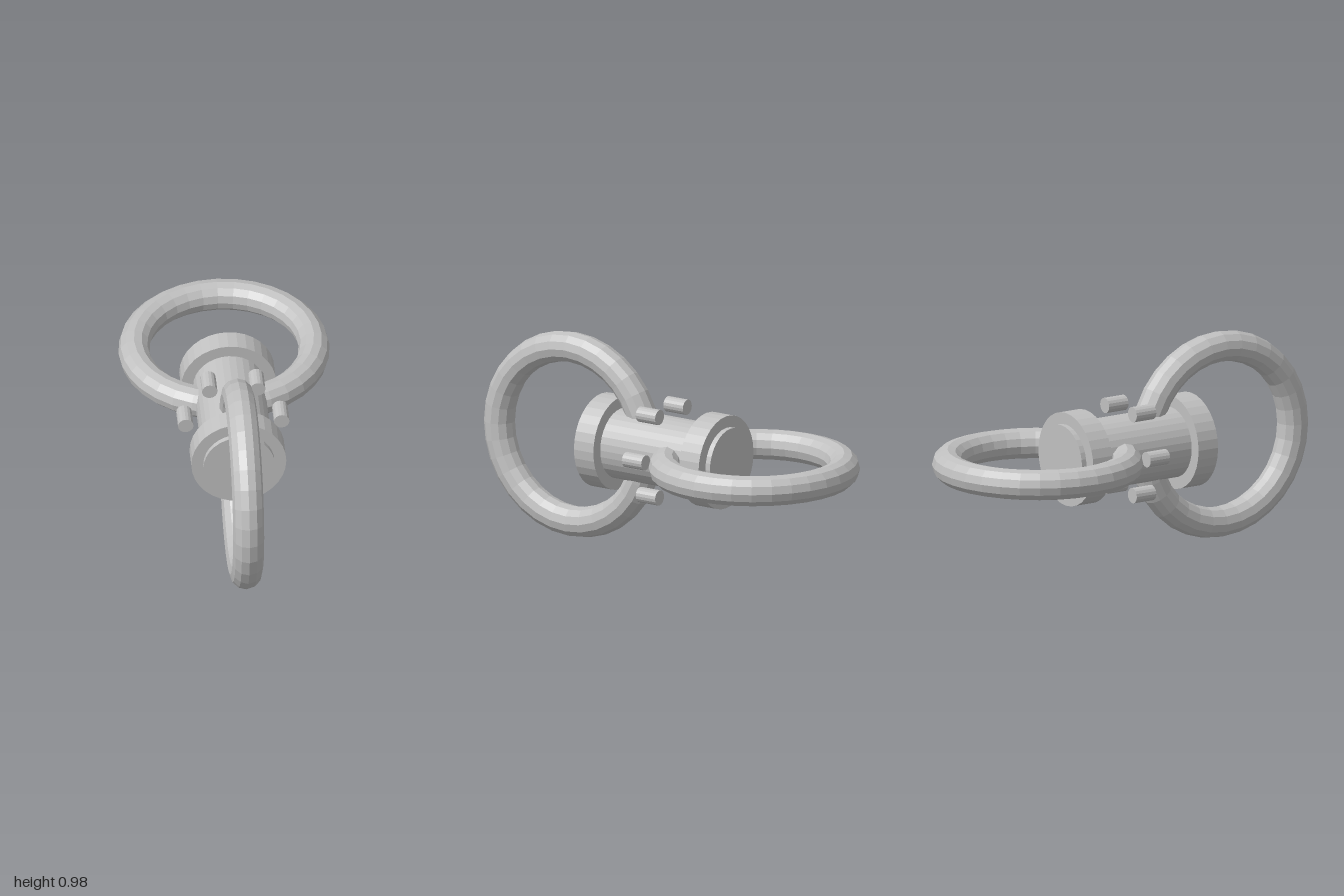
import * as THREE from 'three';

const CY = 0.49; // height of the swivel axis, which runs along z

export function createModel() {
  const model = new THREE.Group();
  const steel = new THREE.MeshStandardMaterial({ color: 0xc0c0c0, flatShading: true });
  steel.name = 'steel grey';

  const add = (name, geometry, x, y, z) => {
    const mesh = new THREE.Mesh(geometry, steel);
    mesh.name = name;
    mesh.position.set(x, CY + y, z);
    model.add(mesh);
    return mesh;
  };

  // Cylinder lying along z
  const rod = (radius, length, sides) =>
    new THREE.CylinderGeometry(radius, radius, length, sides).rotateX(Math.PI / 2);

  // Swivel barrel with a collar near each end
  add('barrel', rod(0.165, 0.755, 32), 0, 0, 0);
  for (const [name, side] of [['frontCollar', 1], ['backCollar', -1]]) {
    add(name, rod(0.22, 0.11, 32), 0, 0, side * 0.297);
  }

  // Six bearing rollers spaced around the barrel
  for (let i = 0; i < 6; i++) {
    const a = (i * Math.PI) / 3;
    add('roller' + (i + 1), rod(0.036, 0.11, 16), 0.222 * Math.cos(a), 0.222 * Math.sin(a), 0);
  }

  // Upright front ring and level back ring, each passing through the barrel
  const ring = () => new THREE.TorusGeometry(0.416, 0.072, 12, 32);
  add('frontRing', ring().rotateY(Math.PI / 2), 0, 0, 0.512);
  add('backRing', ring().rotateX(Math.PI / 2), 0, 0, -0.512);

  return model;
}
